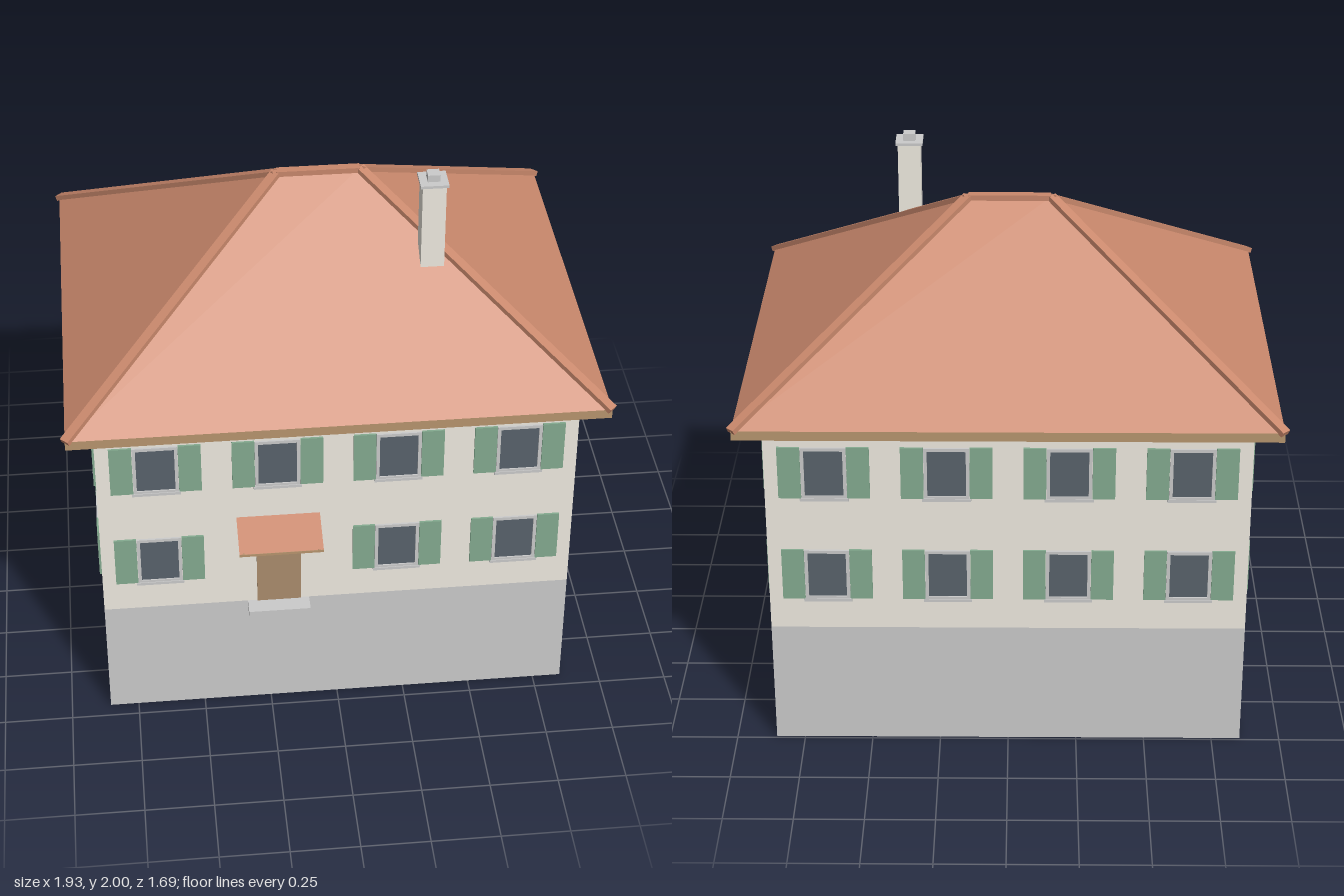
import * as THREE from 'three';

const mat = (color, extra = {}) => new THREE.MeshStandardMaterial({ color, ...extra });
const grey = mat(0xcccccc);
const stone = mat(0xcccccc, { side: THREE.DoubleSide });
const plaster = mat(0xf0ece2, { side: THREE.DoubleSide });
const tile = mat(0xc9886c, { side: THREE.DoubleSide, flatShading: true });
const timber = mat(0xb8966f);
const doorWood = mat(0xab8d6e);
const green = mat(0x84ab90);
const glass = mat(0x59636c);

// Wall extents and roof extents
const WX = 0.855, WF = 0.695, WB = -0.74, WZ = (WF + WB) / 2;
const EX = 0.95, EF = 0.78, EB = -0.83, EY = 1.315;
const RX = 0.15, RY = 1.86, RZ = -0.025;

function add(parent, name, geometry, material, x = 0, y = 0, z = 0) {
  const mesh = new THREE.Mesh(geometry, material);
  mesh.name = name;
  mesh.position.set(x, y, z);
  parent.add(mesh);
  return mesh;
}

// Box given by its min and max corners
function box(parent, name, material, [x0, y0, z0], [x1, y1, z1]) {
  return add(parent, name, new THREE.BoxGeometry(x1 - x0, y1 - y0, z1 - z0), material,
    (x0 + x1) / 2, (y0 + y1) / 2, (z0 + z1) / 2);
}

// Flat bar running from a to b
function bar(parent, name, material, a, b, width, height) {
  const mesh = add(parent, name, new THREE.BoxGeometry(width, height, a.distanceTo(b)), material);
  mesh.position.copy(a).lerp(b, 0.5);
  mesh.lookAt(b);
  return mesh;
}

// Four thin walls, open above and below
function wallRing(name, material, y0, y1) {
  const ring = new THREE.Group();
  ring.name = name;
  const h = y1 - y0, y = (y0 + y1) / 2, depth = WF - WB;
  add(ring, 'frontWall', new THREE.PlaneGeometry(2 * WX, h), material, 0, y, WF);
  add(ring, 'backWall', new THREE.PlaneGeometry(2 * WX, h), material, 0, y, WB).rotation.y = Math.PI;
  for (const s of [-1, 1]) {
    add(ring, s > 0 ? 'leftWall' : 'rightWall', new THREE.PlaneGeometry(depth, h), material, s * WX, y, WZ)
      .rotation.y = s * Math.PI / 2;
  }
  return ring;
}

// Window facing +z with its bottom at the origin, set through the wall
function makeWindow() {
  const w = new THREE.Group();
  w.name = 'window';
  const H = 0.2, half = 0.08, t = 0.012;
  box(w, 'glass', glass, [-half + t, t, -0.015], [half - t, H - t, 0.003]);
  for (const s of [-1, 1]) {
    const a = s * half, b = s * (half - t);
    box(w, 'frameSide', grey, [Math.min(a, b), 0, -0.02], [Math.max(a, b), H, 0.008]);
    const c = s * 0.081, d = s * 0.161;
    box(w, 'shutter', green, [Math.min(c, d), 0.003, 0.001], [Math.max(c, d), H + 0.003, 0.009]);
  }
  box(w, 'frameTop', grey, [-half + t, H - t, -0.02], [half - t, H, 0.008]);
  box(w, 'frameBottom', grey, [-half + t, 0, -0.02], [half - t, t, 0.008]);
  box(w, 'sill', grey, [-0.086, -0.008, 0], [0.086, 0.003, 0.011]);
  return w;
}

function makeRoof() {
  const roof = new THREE.Group();
  roof.name = 'roof';
  box(roof, 'eavesBoard', timber, [-EX, 1.28, EB], [EX, EY, EF]);

  // Hipped slopes
  const V = (x, y, z) => new THREE.Vector3(x, y, z);
  const fl = V(-EX, EY, EF), fr = V(EX, EY, EF), br = V(EX, EY, EB), bl = V(-EX, EY, EB);
  const r0 = V(-RX, RY, RZ), r1 = V(RX, RY, RZ);
  const faces = [fl, fr, r1, fl, r1, r0, br, bl, r0, br, r0, r1, fr, br, r1, bl, fl, r0];
  const slopes = new THREE.BufferGeometry().setFromPoints(faces);
  slopes.computeVertexNormals();
  add(roof, 'roofSlopes', slopes, tile);

  // Caps along the hips and the ridge
  for (const [corner, top] of [[fl, r0], [bl, r0], [fr, r1], [br, r1]]) {
    bar(roof, 'hipCap', tile, corner, top, 0.036, 0.02);
  }
  bar(roof, 'ridgeCap', tile, r0, r1, 0.034, 0.02);
  return roof;
}

function makeEntrance() {
  const g = new THREE.Group();
  g.name = 'entrance';
  box(g, 'door', doorWood, [-0.295, 0.475, WF - 0.015], [-0.135, 0.785, WF + 0.004]);
  box(g, 'doorStep', grey, [-0.33, 0.45, WF], [-0.105, 0.475, 0.76]);

  // Sloping canopy on two struts
  const canopy = add(g, 'canopy', new THREE.PlaneGeometry(0.3, Math.hypot(0.145, 0.055)), tile,
    -0.215, 0.842, WF + 0.0725);
  canopy.rotation.x = -Math.atan2(0.145, 0.055);
  box(g, 'canopyRail', timber, [-0.365, 0.805, 0.828], [-0.065, 0.815, 0.84]);
  for (const x of [-0.352, -0.08]) {
    bar(g, 'canopyStrut', timber, new THREE.Vector3(x, 0.785, WF),
      new THREE.Vector3(x, 0.811, 0.838), 0.01, 0.012);
  }
  return g;
}

function makeChimney() {
  const g = new THREE.Group();
  g.name = 'chimney';
  box(g, 'chimneyStack', plaster, [0.332, 1.6, 0.22], [0.416, 1.966, 0.304]);
  box(g, 'chimneyCap', grey, [0.324, 1.964, 0.212], [0.424, 1.974, 0.312]);
  box(g, 'chimneyPot', grey, [0.352, 1.974, 0.24], [0.396, 2, 0.284]);
  return g;
}

export function createModel() {
  const house = new THREE.Group();
  house.name = 'house';
  house.add(wallRing('basement', stone, 0, 0.475));
  house.add(wallRing('upperWalls', plaster, 0.475, 1.29));

  // Windows on two floors of all four walls
  const place = (x, y, z, angle) => {
    const w = makeWindow();
    w.position.set(x, y, z);
    w.rotation.y = angle;
    house.add(w);
  };
  for (const y of [0.597, 1.007]) {
    for (const x of [-0.645, -0.215, 0.215, 0.645]) {
      const isDoor = x === -0.215 && y < 1;
      if (!isDoor) place(x, y, WF, 0);
      place(x, y, WB, Math.PI);
    }
    for (const z of [-0.52, -0.02, 0.48]) {
      place(WX, y, z, Math.PI / 2);
      place(-WX, y, z, -Math.PI / 2);
    }
  }

  house.add(makeEntrance(), makeRoof(), makeChimney());
  return house;
}
